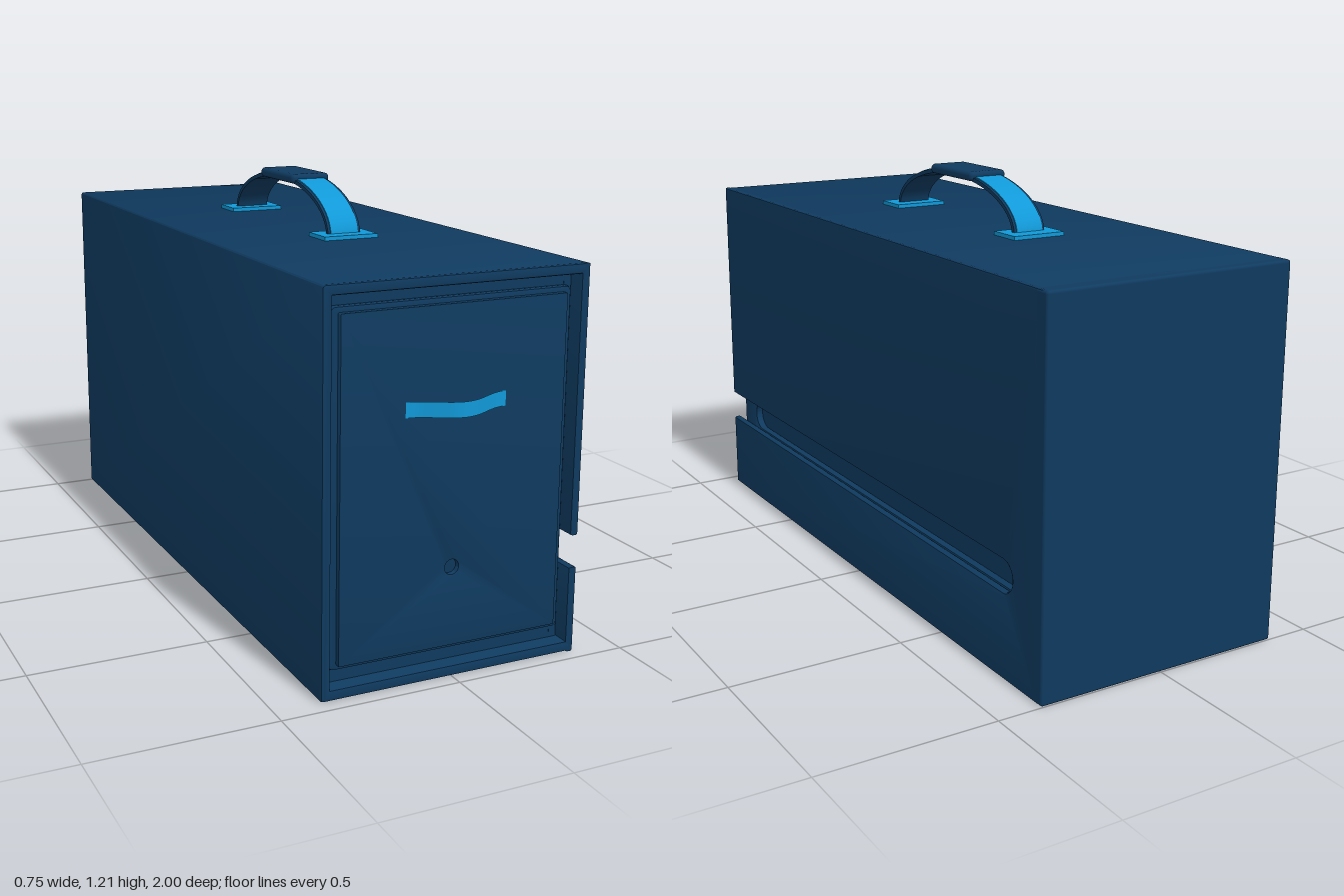
import * as THREE from 'three';
import { toCreasedNormals } from 'three/addons/utils/BufferGeometryUtils.js';
import { RoundedBoxGeometry } from 'three/addons/geometries/RoundedBoxGeometry.js';

const H = 1.055, SLOT_Y = 0.285, SLOT_R = 0.045;

// Extrusion of total thickness t, from z = 0, with small bevels kept inside the outline.
function slab(shape, t, bevel, segments = 2) {
  const geo = new THREE.ExtrudeGeometry(shape, {
    depth: t - 2 * bevel, bevelEnabled: bevel > 0, bevelThickness: bevel,
    bevelSize: bevel, bevelOffset: -bevel, bevelSegments: segments, curveSegments: 24,
  });
  return toCreasedNormals(geo.translate(0, 0, bevel), 0.6);
}

// Turns an outline drawn in (-z, y) so that it is extruded along x.
const sideways = (geo, x) => geo.rotateY(Math.PI / 2).translate(x, 0, 0);

function roundRect(w, y0, y1, r) {
  const s = new THREE.Shape();
  s.absarc(w - r, y0 + r, r, -Math.PI / 2, 0);
  s.absarc(w - r, y1 - r, r, 0, Math.PI / 2);
  s.absarc(-w + r, y1 - r, r, Math.PI / 2, Math.PI);
  s.absarc(-w + r, y0 + r, r, Math.PI, Math.PI * 1.5);
  s.closePath();
  return s;
}

// Arched band in (-z, y) between two half ellipses.
function archBand(outer, inner) {
  const cz = 0.02, cy = 1.058, s = new THREE.Shape();
  s.absellipse(cz, cy, 0.33 + outer, 0.138 + outer, 0, Math.PI, false, 0);
  s.absellipse(cz, cy, 0.33 + inner, 0.138 + inner, Math.PI, 0, true, 0);
  s.closePath();
  return s;
}

export function createModel() {
  const model = new THREE.Group();
  const navy = new THREE.MeshStandardMaterial({ color: 0x0f3a5f, side: THREE.DoubleSide });
  navy.name = 'navy';
  const blue = new THREE.MeshStandardMaterial({ color: 0x1199d8, side: THREE.DoubleSide });
  blue.name = 'bright blue';

  function add(name, geo, mat, x = 0, y = 0, z = 0, parent = model) {
    const mesh = new THREE.Mesh(geo, mat);
    mesh.name = name;
    mesh.position.set(x, y, z);
    parent.add(mesh);
    return mesh;
  }

  // Casing: top, bottom and left wall in one C-shaped sleeve
  const c = new THREE.Shape();
  c.moveTo(0.367, 0);
  c.lineTo(0.367, 0.03);
  c.lineTo(-0.348, 0.03);
  c.lineTo(-0.348, 1.027);
  c.lineTo(0.367, 1.027);
  c.lineTo(0.367, H);
  c.lineTo(-0.365, H);
  c.quadraticCurveTo(-0.375, H, -0.375, H - 0.01);
  c.lineTo(-0.375, 0.01);
  c.quadraticCurveTo(-0.375, 0, -0.365, 0);
  add('casingSleeve', slab(c, 1.94, 0.008), navy, 0, 0, -0.98);

  // Right wall of the casing, with a slot open at the front
  const w = new THREE.Shape();
  w.moveTo(-0.96, 0);
  w.lineTo(0.98, 0);
  w.lineTo(0.98, H);
  w.lineTo(-0.96, H);
  w.lineTo(-0.96, SLOT_Y + SLOT_R);
  w.lineTo(0.815, SLOT_Y + SLOT_R);
  w.absarc(0.815, SLOT_Y, SLOT_R, Math.PI / 2, -Math.PI / 2, true);
  w.lineTo(-0.96, SLOT_Y - SLOT_R);
  w.closePath();
  add('slottedWall', sideways(slab(w, 0.025, 0.007), 0.35), navy);

  add('backWall', new RoundedBoxGeometry(0.75, H, 0.05, 3, 0.008), navy, 0, H / 2, -0.975);

  // Drawer body, with its own closed slot behind the casing slot
  add('drawerCore', new THREE.BoxGeometry(0.675, 1.01, 1.875), navy, -0.0125, 0.5275, -0.0225);
  const d = new THREE.Shape();
  d.moveTo(-0.915, 0.023);
  d.lineTo(0.96, 0.023);
  d.lineTo(0.96, 1.032);
  d.lineTo(-0.915, 1.032);
  d.closePath();
  const slot = new THREE.Path();
  slot.absarc(0.815, SLOT_Y, SLOT_R - 0.001, -Math.PI / 2, Math.PI / 2);
  slot.absarc(-0.775, SLOT_Y, SLOT_R - 0.001, Math.PI / 2, Math.PI * 1.5);
  slot.closePath();
  d.holes.push(slot);
  add('drawerSlottedSide', sideways(slab(d, 0.024, 0.004), 0.325), navy);

  // Drawer front: rounded rim plate and raised panel with a round hole
  add('drawerRim', slab(roundRect(0.34, 0.065, 0.995, 0.015), 0.03, 0.008), navy, 0, 0, 0.9);
  const panel = roundRect(0.32, 0.08, 0.98, 0.004);
  const hole = new THREE.Path();
  hole.absarc(0, 0.295, 0.02, 0, Math.PI * 2);
  panel.holes.push(hole);
  add('drawerPanel', slab(panel, 0.03, 0.003), navy, 0, 0, 0.915);

  // Pull strap bowed out of the drawer front
  const pull = new THREE.PlaneGeometry(0.286, 0.04, 32, 1);
  const p = pull.attributes.position;
  for (let i = 0; i < p.count; i++) {
    p.setZ(i, 0.947 + 0.053 * Math.cos(p.getX(i) / 0.286 * Math.PI) ** 2);
  }
  pull.computeVertexNormals();
  add('pullStrap', pull, blue, 0, 0.725, 0);

  // Carrying handle: strap with bright face, grip and two mounting plates
  const handle = new THREE.Group();
  handle.name = 'carryHandle';
  model.add(handle);
  add('handleStrap', sideways(slab(archBand(0.006, -0.006), 0.1, 0), -0.05), navy, 0, 0, 0, handle);
  add('handleStrapFace', sideways(slab(archBand(0.009, 0.005), 0.084, 0), -0.042), blue, 0, 0, 0, handle);
  add('handleGrip', new RoundedBoxGeometry(0.12, 0.028, 0.235, 4, 0.012), navy, 0, 1.196, -0.021, handle);
  for (const z of [0.31, -0.355]) {
    add('handlePlate', new THREE.BoxGeometry(0.164, 0.012, 0.105), blue, 0, H + 0.005, z, handle);
  }

  return model;
}
